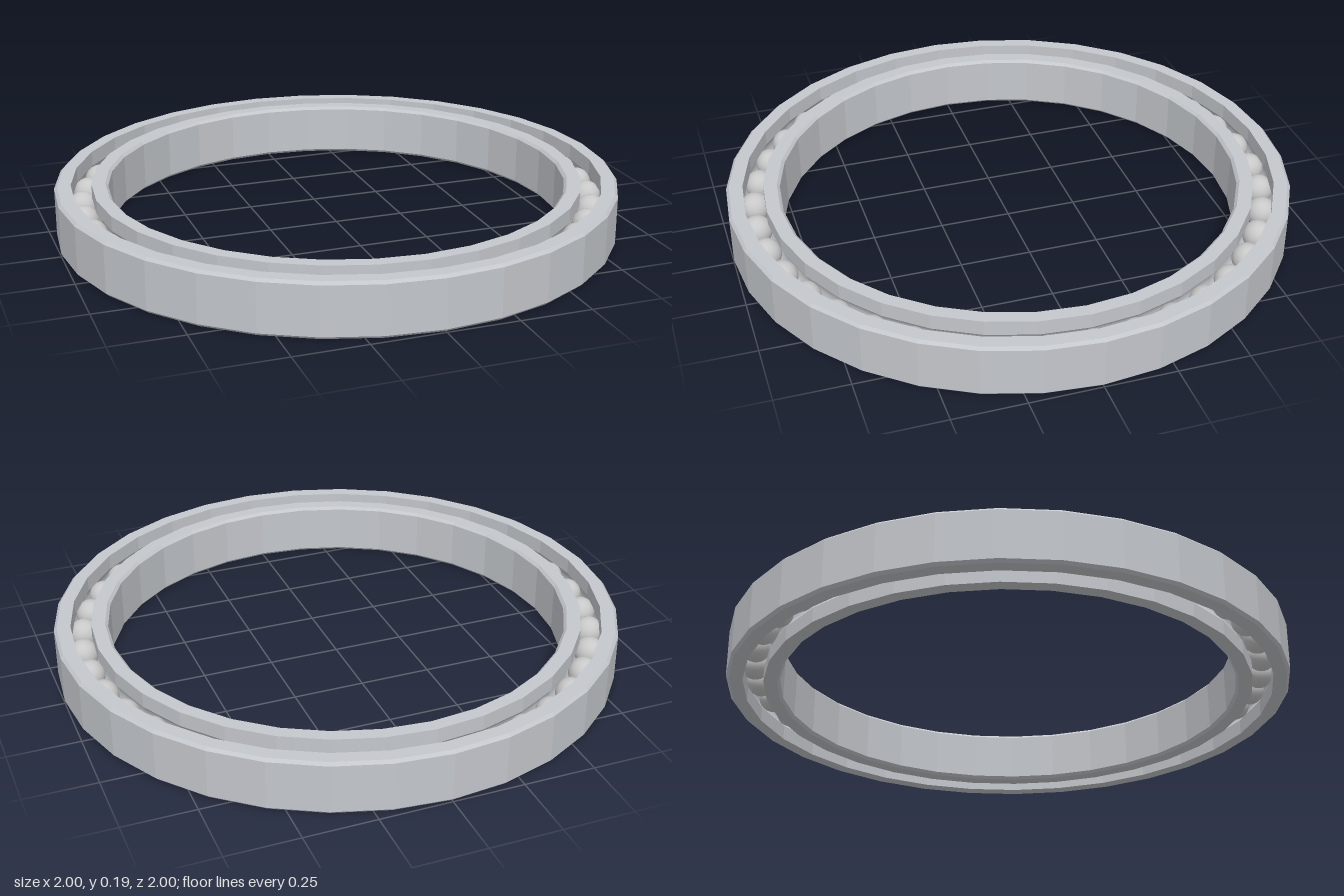
import * as THREE from 'three';

const SIDES = 32, HEIGHT = 0.19, MID = HEIGHT / 2, CHAMFER = 0.01;
const BALLS = 39, BALL_R = 0.053, PITCH_R = 0.905, GROOVE_R = 0.055;

// Closed ring section: dir = 1 for the outer race, -1 for the inner race.
// "back" is the chamfered plain wall, "face" the grooved wall toward the balls.
function raceGeometry(back, face, dir) {
  const b = back - dir * CHAMFER;
  const pts = [
    [face, 0], [b, 0], [back, CHAMFER],
    [back, HEIGHT - CHAMFER], [b, HEIGHT], [face, HEIGHT],
  ];
  // Ball groove, an arc from its top lip to its bottom lip
  const lip = Math.acos(Math.abs(face - PITCH_R) / GROOVE_R);
  for (let i = 0; i <= 8; i++) {
    const a = lip * (1 - i / 4);
    pts.push([PITCH_R + dir * GROOVE_R * Math.cos(a), MID + GROOVE_R * Math.sin(a)]);
  }
  pts.push(pts[0]);
  if (dir < 0) pts.reverse(); // keep the section counter-clockwise
  const lathe = new THREE.LatheGeometry(pts.map(([r, y]) => new THREE.Vector2(r, y)), SIDES);
  const flat = lathe.toNonIndexed(); // faceted faces
  flat.computeVertexNormals();
  return flat;
}

export function createModel() {
  const model = new THREE.Group();
  model.name = 'ballBearing';

  const ringSteel = new THREE.MeshStandardMaterial({ color: 0xc4c7cc });
  ringSteel.name = 'ring steel';
  const ballSteel = new THREE.MeshStandardMaterial({ color: 0xc8c8c8 });
  ballSteel.name = 'ball steel';

  // Outer and inner races
  const outer = new THREE.Mesh(raceGeometry(1, 0.942, 1), ringSteel);
  outer.name = 'outerRace';
  const inner = new THREE.Mesh(raceGeometry(0.812, 0.87, -1), ringSteel);
  inner.name = 'innerRace';
  model.add(outer, inner);

  // Balls evenly spaced between the races
  const balls = new THREE.Group();
  balls.name = 'balls';
  const ballGeometry = new THREE.SphereGeometry(BALL_R, 24, 16);
  for (let i = 0; i < BALLS; i++) {
    const a = (i / BALLS) * Math.PI * 2;
    const ball = new THREE.Mesh(ballGeometry, ballSteel);
    ball.name = 'ball';
    ball.position.set(PITCH_R * Math.cos(a), MID, PITCH_R * Math.sin(a));
    balls.add(ball);
  }
  model.add(balls);
  return model;
}
